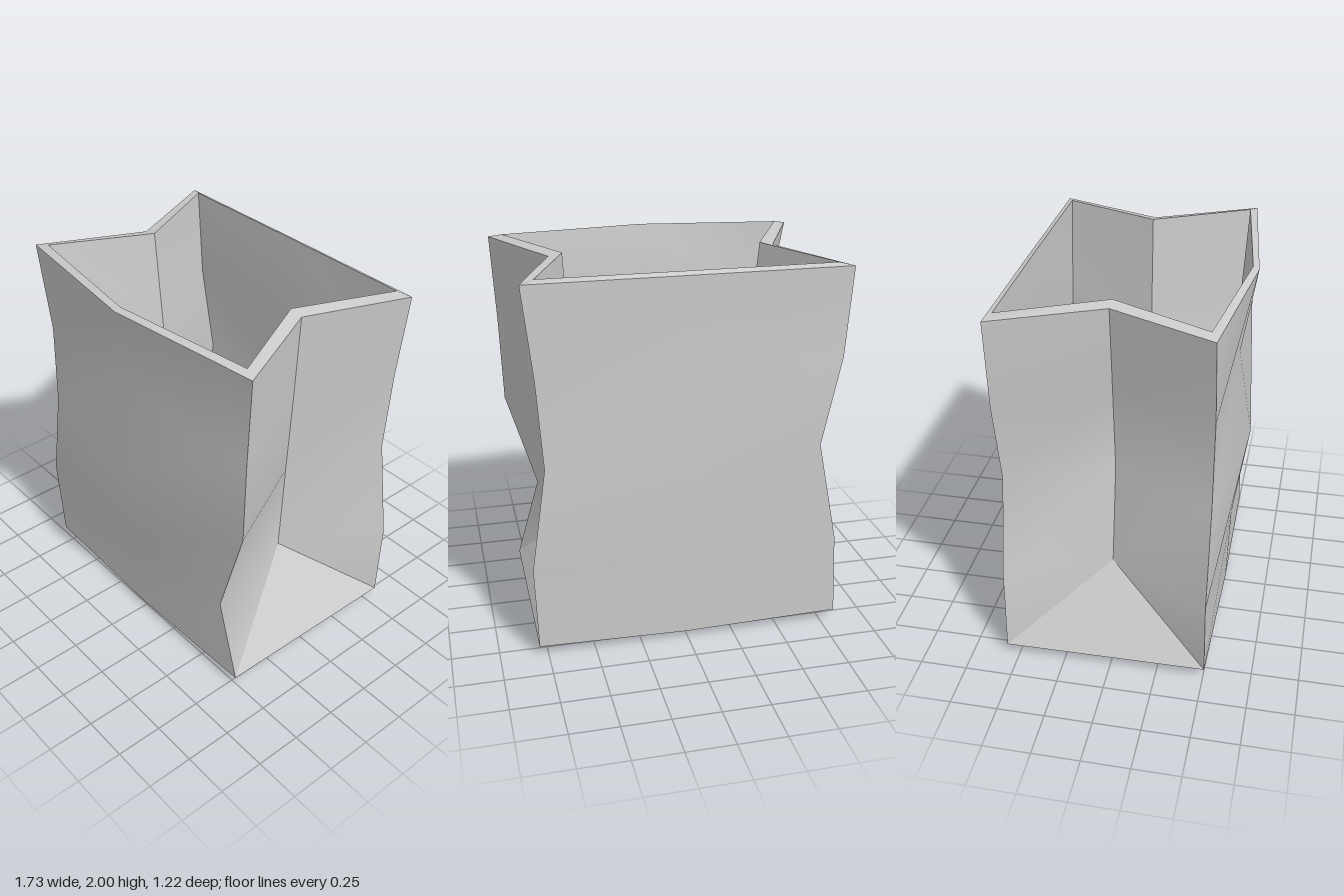
import * as THREE from 'three';

// Heights of the crease levels, from base to rim
const LEVELS = [0.05, 0.5, 1.05, 1.52, 1.985];

const column = (xs, zs) => LEVELS.map((y, j) => [
  Array.isArray(xs) ? xs[j] : xs, y, Array.isArray(zs) ? zs[j] : zs]);

// Vertical creases, counterclockwise from above, starting at front, -x side
function outerColumns() {
  const cols = [
    column([-0.82, -0.865, -0.76, -0.74, -0.83], 0.505),
    column(0, [0.515, 0.53, 0.61, 0.53, 0.605]),
    column([0.785, 0.655, 0.82, 0.835, 0.86], 0.505),
    column([0.52, 0.52, 0.55, 0.58, 0.605], -0.03),
    column([0.795, 0.81, 0.73, 0.76, 0.81], -0.568),
    column(0, [-0.568, -0.575, -0.607, -0.55, -0.57]),
    column([-0.83, -0.81, -0.70, -0.797, -0.83], -0.568),
    column([-0.583, -0.583, -0.489, -0.535, -0.583], -0.03),
  ];
  cols[1][0][1] = cols[5][0][1] = 0.032;
  cols[3][1][1] = cols[7][1][1] = 0.52; // peak of the folded gusset
  return cols;
}

// Inner wall: the outer creases moved inward by the wall thickness
function innerColumns(cols) {
  return cols.map((col, i) => col.map(([x, y, z], j) => [
    x - Math.sign(x) * 0.072,
    j === 0 ? y + 0.05 : j === 4 ? 2.0 : y,
    i === 3 || i === 7 ? z : z - Math.sign(z) * 0.032]));
}

const material = new THREE.MeshStandardMaterial({ color: 0xcccccc });

function meshFrom(name, points, faces, flip) {
  const geo = new THREE.BufferGeometry();
  geo.setAttribute('position', new THREE.Float32BufferAttribute(points.flat(), 3));
  geo.setIndex(faces.flatMap(([a, b, c]) => (flip ? [a, c, b] : [a, b, c])));
  geo.computeVertexNormals();
  const mesh = new THREE.Mesh(geo, material);
  mesh.name = name;
  return mesh;
}

// Smooth panel spanning neighbouring creases; folded corners leave one triangle
function panel(name, cols, folded, flip) {
  const n = LEVELS.length, faces = [];
  for (let i = 0; i + 1 < cols.length; i++) {
    for (let j = 0; j + 1 < n; j++) {
      const a = i * n + j, b = a + n;
      if (!folded || j > 0) faces.push([a, b, b + 1], [a, b + 1, a + 1]);
      else faces.push(folded === 'end' ? [a, b + 1, a + 1] : [b, b + 1, a + 1]);
    }
  }
  return meshFrom(name, cols.flat(), faces, flip);
}

function shell(prefix, cols, floorY, flip) {
  const group = new THREE.Group();
  group.name = prefix + 'Shell';
  const parts = [
    ['FrontPanel', [0, 1, 2]], ['LeftGussetFront', [2, 3], 'end'],
    ['LeftGussetBack', [3, 4], 'start'], ['BackPanel', [4, 5, 6]],
    ['RightGussetBack', [6, 7], 'end'], ['RightGussetFront', [7, 0], 'start'],
  ];
  for (const [name, ids, folded] of parts) {
    group.add(panel(prefix + name, ids.map((i) => cols[i]), folded, flip));
  }
  // Triangular folds closing the foot of each gusset
  for (const [name, a, b, peak] of [['LeftFold', 2, 4, 3], ['RightFold', 6, 0, 7]]) {
    group.add(meshFrom(prefix + name, [cols[a][0], cols[b][0], cols[peak][1]], [[0, 1, 2]], flip));
  }
  // Base, sagging slightly to its centre
  const rim = [0, 1, 2, 4, 5, 6].map((i) => cols[i][0]);
  const fan = rim.map((_, i) => [0, 1 + (i + 1) % 6, 1 + i]);
  group.add(meshFrom(prefix + 'Base', [[0, floorY, -0.03], ...rim], fan, flip));
  return group;
}

export function createModel() {
  const model = new THREE.Group();
  model.name = 'paperBag';
  const outer = outerColumns();
  const inner = innerColumns(outer);
  model.add(shell('outer', outer, 0, false), shell('inner', inner, 0.06, true));

  // Thick top edge joining both walls
  const points = [], faces = [];
  outer.forEach((col, i) => {
    points.push(col[4], inner[i][4]);
    const a = i * 2, b = ((i + 1) % 8) * 2;
    faces.push([a, b, b + 1], [a, b + 1, a + 1]);
  });
  model.add(meshFrom('rim', points, faces, false));
  return model;
}
